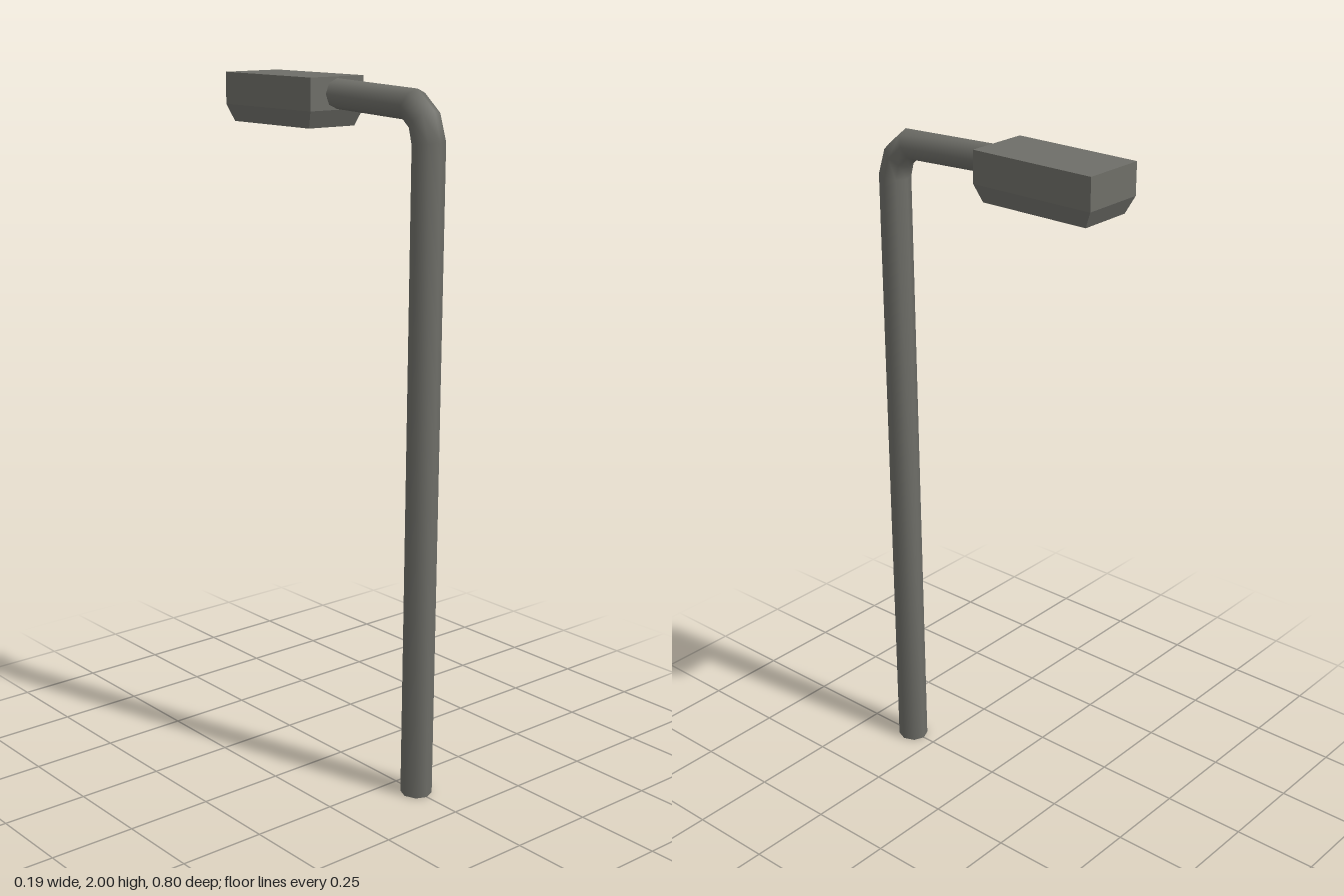
import * as THREE from 'three';

// Smooth eight-sided tube lofted through rings lying across the x = 0 plane.
// Each ring: [outer z, outer y, inner z, inner y, half width].
function loft(rings, sides) {
  const positions = [], index = [];
  for (const [oz, oy, iz, iy, w] of rings) {
    for (let j = 0; j < sides; j++) {
      const a = (j / sides) * Math.PI * 2, c = Math.cos(a) / 2;
      positions.push(Math.sin(a) * w, (oy + iy) / 2 + c * (oy - iy), (oz + iz) / 2 + c * (oz - iz));
    }
  }
  for (let i = 0; i < rings.length - 1; i++) {
    for (let j = 0; j < sides; j++) {
      const a = i * sides + j, b = i * sides + (j + 1) % sides;
      index.push(a, b, a + sides, b, b + sides, a + sides);
    }
  }
  const geometry = new THREE.BufferGeometry();
  geometry.setAttribute('position', new THREE.Float32BufferAttribute(positions, 3));
  geometry.setIndex(index);
  geometry.computeVertexNormals();
  return geometry;
}

export function createModel() {
  const group = new THREE.Group();
  group.name = 'streetLamp';
  const metal = new THREE.MeshStandardMaterial({ color: 0x6e6e68 });
  metal.name = 'grey metal';

  // Leaning post that bends into a short arm
  const post = new THREE.Mesh(loft([
    [0.382, 0, 0.29, 0, 0.044],
    [0.4, 1.85, 0.309, 1.84, 0.044],
    [0.374, 1.93, 0.3, 1.877, 0.044],
    [0.31, 1.983, 0.272, 1.9, 0.043],
    [-0.03, 1.996, -0.03, 1.913, 0.04],
  ], 8), metal);
  post.name = 'post';
  group.add(post);

  // Cap under the post
  const foot = new THREE.Mesh(new THREE.CircleGeometry(0.045, 8), metal);
  foot.name = 'postFoot';
  foot.rotation.x = Math.PI / 2;
  foot.position.set(0, 0.001, 0.336);
  group.add(foot);

  // Lamp head: a box whose lower edge tapers inward
  const box = new THREE.BoxGeometry(0.188, 0.138, 0.384, 1, 2, 1);
  const p = box.attributes.position;
  for (let i = 0; i < p.count; i++) {
    const y = p.getY(i);
    if (y < -0.01) {
      p.setX(i, p.getX(i) * 0.86);
      p.setZ(i, p.getZ(i) * 0.88);
    } else if (y < 0.01) {
      p.setY(i, -0.021);
    }
  }
  const headGeometry = box.toNonIndexed();
  headGeometry.computeVertexNormals();
  const head = new THREE.Mesh(headGeometry, metal);
  head.name = 'lampHead';
  head.position.set(0, 1.931, -0.208);
  group.add(head);

  return group;
}
